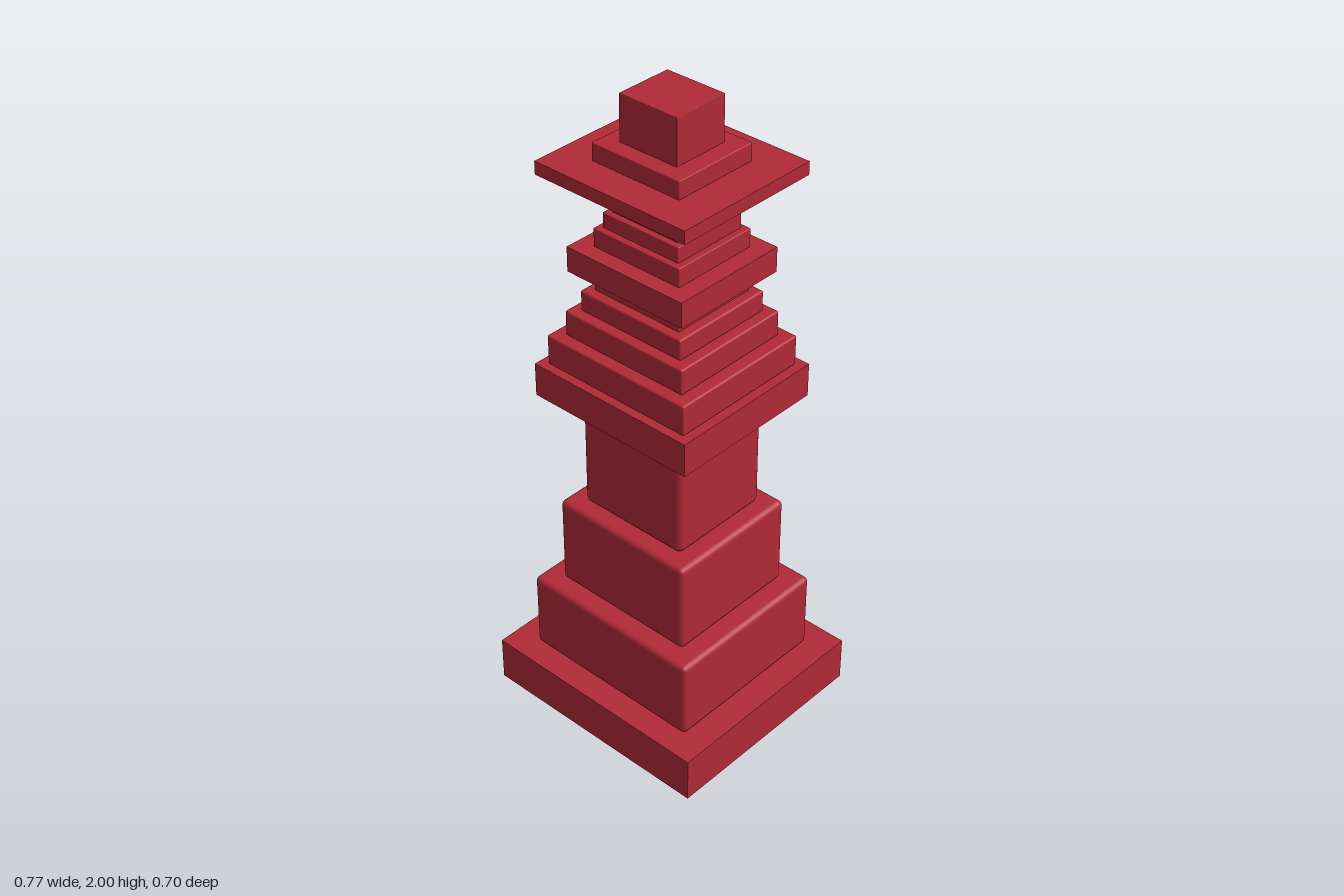
import * as THREE from 'three';
import { RoundedBoxGeometry } from 'three/addons/geometries/RoundedBoxGeometry.js';

// Depth of every tier relative to its width
const DEPTH = 0.914;

// name, bottom y, top y, half width, edge radius (0 = sharp)
const TIERS = [
  ['basePlinth', 0, 0.145, 0.384, 0],
  ['lowerPedestal', 0.145, 0.4, 0.303, 0.016],
  ['upperPedestal', 0.4, 0.69, 0.24, 0.016],
  ['shaft', 0.69, 1.065, 0.187, 0.02],
  ['mainCornice', 1.065, 1.17, 0.28, 0],
  ['roofStep1', 1.17, 1.265, 0.253, 0.006],
  ['roofStep2', 1.265, 1.345, 0.215, 0.006],
  ['roofStep3', 1.345, 1.41, 0.183, 0.006],
  ['roofStep4', 1.41, 1.47, 0.154, 0.004],
  ['middleCornice', 1.47, 1.547, 0.207, 0],
  ['neckStep1', 1.547, 1.605, 0.154, 0.003],
  ['neckStep2', 1.605, 1.653, 0.135, 0.003],
  ['neckStep3', 1.653, 1.7, 0.117, 0.003],
  ['canopySupport', 1.7, 1.765, 0.154, 0],
  ['canopySlab', 1.765, 1.805, 0.263, 0],
  ['finialBase', 1.805, 1.86, 0.153, 0.003],
  ['finial', 1.86, 2, 0.1, 0.002],
];

export function createModel() {
  const group = new THREE.Group();
  group.name = 'steppedTower';
  const material = new THREE.MeshStandardMaterial({ color: 0xb22a38 });

  // Stack the tiers from the ground up
  for (const [name, bottom, top, half, radius] of TIERS) {
    const size = [half * 2, top - bottom, half * 2 * DEPTH];
    const geometry = radius
      ? new RoundedBoxGeometry(...size, 2, radius)
      : new THREE.BoxGeometry(...size);
    const tier = new THREE.Mesh(geometry, material);
    tier.name = name;
    tier.position.y = (bottom + top) / 2;
    group.add(tier);
  }
  return group;
}
